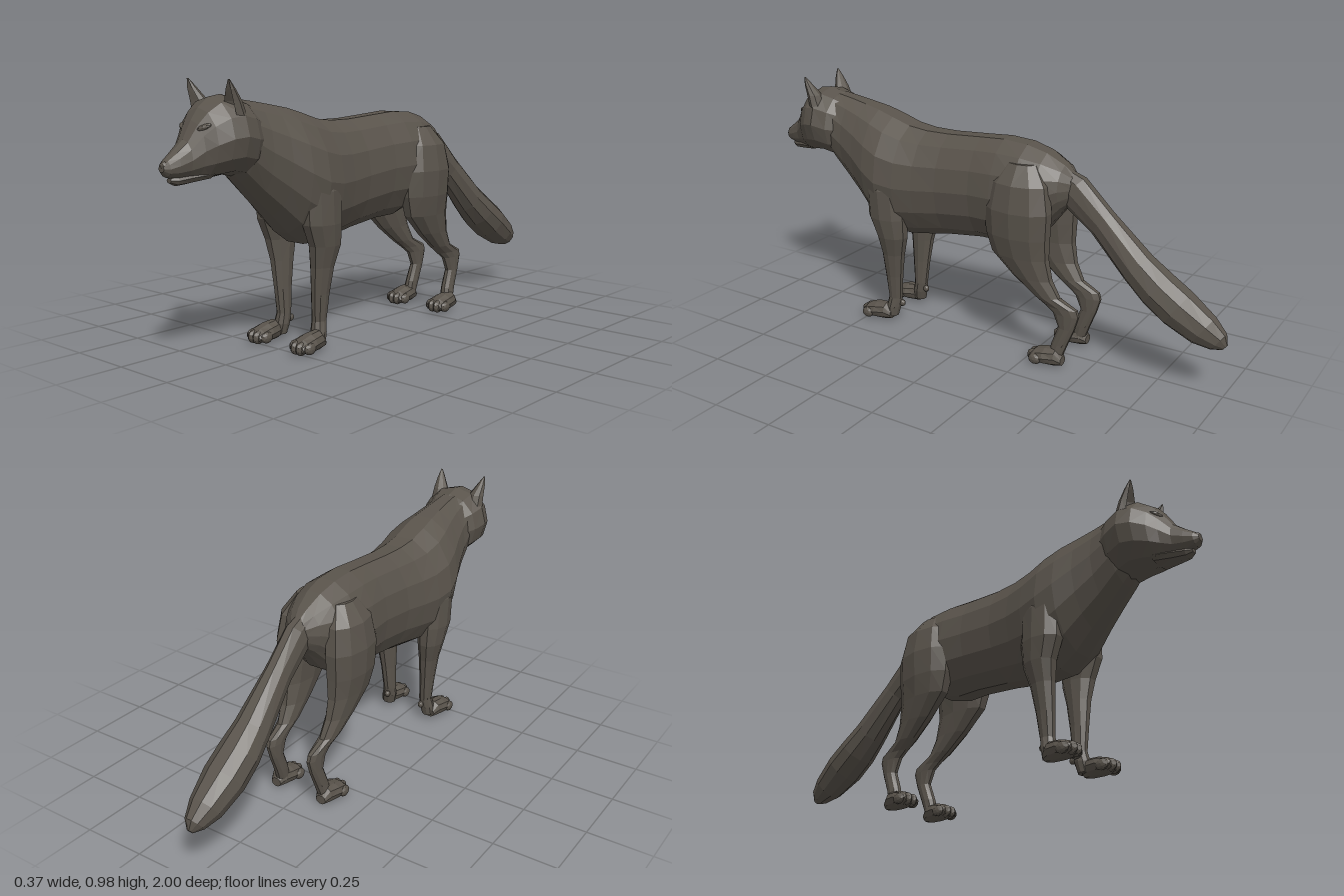
import * as THREE from 'three';

const fur = new THREE.MeshStandardMaterial({ color: 0x59534b });
fur.name = 'dark grey fur';
fur.flatShading = true;

// Loft through elliptical rings [x, y, z, halfWidth, halfDepth, tiltDegrees].
// Tilt 0 is an upright ring (path runs to +z), tilt 90 a level ring (path runs down).
// A dent below 1 pulls the ring's leading point inward, to hollow the ears.
function loft(name, rings, n = 10, dent = 1) {
  const pos = [], idx = [];
  rings.forEach(([x, y, z, rx, rv, tilt = 0]) => {
    const t = THREE.MathUtils.degToRad(tilt);
    for (let j = 0; j < n; j++) {
      const a = (j / n) * Math.PI * 2;
      const v = Math.sin(a) * rv * (j === n / 4 ? dent : 1);
      pos.push(x + Math.cos(a) * rx, y + v * Math.cos(t), z + v * Math.sin(t));
    }
  });
  for (let i = 0; i < rings.length - 1; i++) {
    for (let j = 0; j < n; j++) {
      const k = (j + 1) % n, a = i * n + j, b = i * n + k, c = b + n, d = a + n;
      // diagonals mirrored left to right
      if (Math.cos(((j + 0.5) / n) * Math.PI * 2) > 0) idx.push(a, b, c, a, c, d);
      else idx.push(a, b, d, b, c, d);
    }
  }
  // end caps
  const last = (rings.length - 1) * n;
  for (let j = 1; j < n - 1; j++) idx.push(0, j + 1, j, last, last + j, last + j + 1);
  const g = new THREE.BufferGeometry();
  g.setAttribute('position', new THREE.Float32BufferAttribute(pos, 3));
  g.setIndex(idx);
  g.computeVertexNormals();
  const m = new THREE.Mesh(g, fur);
  m.name = name;
  return m;
}

// Rings given as [z, top, bottom, halfWidth]
const upright = (name, rows, n, x = 0) =>
  loft(name, rows.map(([z, top, bot, w]) => [x, (top + bot) / 2, z, w, (top - bot) / 2]), n);

// Rings given as [y, front z, back z, x, halfWidth]
const level = (name, rows, s, n, dent) =>
  loft(name, rows.map(([y, f, b, x, w]) => [s * x, y, (f + b) / 2, w, (f - b) / 2, 90]), n, dent);

function lump(name, x, y, z, sx, sy, sz) {
  const m = new THREE.Mesh(new THREE.IcosahedronGeometry(1, 1), fur);
  m.name = name;
  m.position.set(x, y, z);
  m.scale.set(sx, sy, sz);
  return m;
}

// Paw with four toes, its front end at z
function paw(name, x, z) {
  const g = new THREE.Group();
  g.name = name;
  g.add(upright('pawPad', [
    [z - 0.145, 0.045, 0.008, 0.022], [z - 0.12, 0.075, 0.002, 0.035],
    [z - 0.075, 0.07, 0, 0.046], [z - 0.035, 0.058, 0.002, 0.045], [z - 0.015, 0.04, 0.008, 0.035],
  ], 10, x));
  [-1.5, -0.5, 0.5, 1.5].forEach((k) => {
    const inner = Math.abs(k) < 1;
    g.add(lump('toe', x + k * 0.025, 0.026, z - (inner ? 0.027 : 0.045), 0.015, inner ? 0.026 : 0.022, 0.027));
  });
  return g;
}

export function createModel() {
  const model = new THREE.Group();
  model.name = 'canine';

  model.add(upright('torso', [
    [-0.39, 0.73, 0.63, 0.035], [-0.35, 0.768, 0.59, 0.08], [-0.28, 0.808, 0.5, 0.125],
    [-0.2, 0.83, 0.45, 0.15], [-0.1, 0.837, 0.42, 0.148], [0, 0.83, 0.418, 0.137],
    [0.15, 0.82, 0.4, 0.14], [0.25, 0.82, 0.382, 0.155], [0.33, 0.83, 0.37, 0.172],
    [0.41, 0.855, 0.372, 0.183], [0.48, 0.875, 0.42, 0.168], [0.55, 0.888, 0.49, 0.142],
    [0.62, 0.9, 0.555, 0.122], [0.69, 0.91, 0.625, 0.112], [0.74, 0.9, 0.68, 0.09],
  ], 14));

  // Head: cheek ruff, brow, muzzle
  model.add(upright('head', [
    [0.63, 0.88, 0.66, 0.095], [0.69, 0.91, 0.645, 0.13], [0.75, 0.925, 0.657, 0.144],
    [0.8, 0.918, 0.652, 0.13], [0.845, 0.885, 0.648, 0.102], [0.875, 0.845, 0.65, 0.074],
    [0.91, 0.785, 0.655, 0.052], [0.95, 0.75, 0.66, 0.041], [0.982, 0.725, 0.668, 0.03], [0.997, 0.708, 0.685, 0.014],
  ], 12));
  model.add(upright('lowerJaw', [
    [0.83, 0.69, 0.65, 0.06], [0.9, 0.685, 0.64, 0.038], [0.945, 0.675, 0.637, 0.026], [0.968, 0.665, 0.648, 0.012],
  ], 8));
  model.add(lump('nose', 0, 0.707, 0.983, 0.017, 0.014, 0.017));

  // Tail, hanging back and down
  model.add(loft('tail', [
    [0, 0.735, -0.29, 0.03, 0.04, 140], [0, 0.675, -0.375, 0.044, 0.072, 135],
    [0, 0.57, -0.5, 0.046, 0.06, 138], [0, 0.425, -0.65, 0.066, 0.069, 138],
    [0, 0.36, -0.73, 0.078, 0.076, 140], [0, 0.305, -0.81, 0.079, 0.078, 145],
    [0, 0.243, -0.91, 0.06, 0.066, 145], [0, 0.212, -0.967, 0.036, 0.043, 142], [0, 0.195, -0.992, 0.01, 0.014, 140],
  ], 10));

  for (const s of [1, -1]) {
    const side = s > 0 ? 'left' : 'right';

    model.add(level(side + 'Ear', [
      [0.976, 0.803, 0.797, 0.103, 0.003], [0.945, 0.803, 0.772, 0.097, 0.017],
      [0.905, 0.796, 0.742, 0.087, 0.032], [0.85, 0.785, 0.72, 0.082, 0.042],
    ], s, 8, -0.1));

    // Overhanging brow that shades the eye
    const brow = lump(side + 'Brow', s * 0.05, 0.822, 0.862, 0.03, 0.011, 0.016);
    brow.rotation.set(0, s * 0.6, s * 0.35);
    model.add(brow);

    model.add(level(side + 'FrontLeg', [
      [0.68, 0.45, 0.34, 0.105, 0.04], [0.58, 0.48, 0.31, 0.115, 0.064], [0.46, 0.475, 0.302, 0.117, 0.06],
      [0.38, 0.442, 0.306, 0.114, 0.051], [0.3, 0.428, 0.328, 0.104, 0.039], [0.2, 0.42, 0.343, 0.097, 0.03],
      [0.1, 0.412, 0.354, 0.091, 0.026], [0.06, 0.42, 0.36, 0.095, 0.03], [0.02, 0.42, 0.37, 0.1, 0.026],
    ], s, 10));
    model.add(lump(side + 'Dewclaw', s * 0.085, 0.075, 0.355, 0.012, 0.015, 0.014));
    model.add(paw(side + 'FrontPaw', s * 0.111, 0.533));

    model.add(level(side + 'HindLeg', [
      [0.77, -0.14, -0.27, 0.075, 0.04], [0.7, -0.09, -0.325, 0.1, 0.065], [0.6, -0.07, -0.345, 0.11, 0.072],
      [0.5, -0.075, -0.34, 0.11, 0.066], [0.42, -0.1, -0.338, 0.108, 0.052], [0.34, -0.185, -0.352, 0.103, 0.04],
      [0.275, -0.27, -0.385, 0.098, 0.031], [0.24, -0.32, -0.458, 0.094, 0.023], [0.215, -0.355, -0.465, 0.093, 0.022],
      [0.16, -0.38, -0.448, 0.093, 0.021], [0.09, -0.355, -0.42, 0.095, 0.024], [0.02, -0.34, -0.395, 0.1, 0.026],
    ], s, 10));
    model.add(paw(side + 'HindPaw', s * 0.106, -0.262));
  }
  return model;
}
